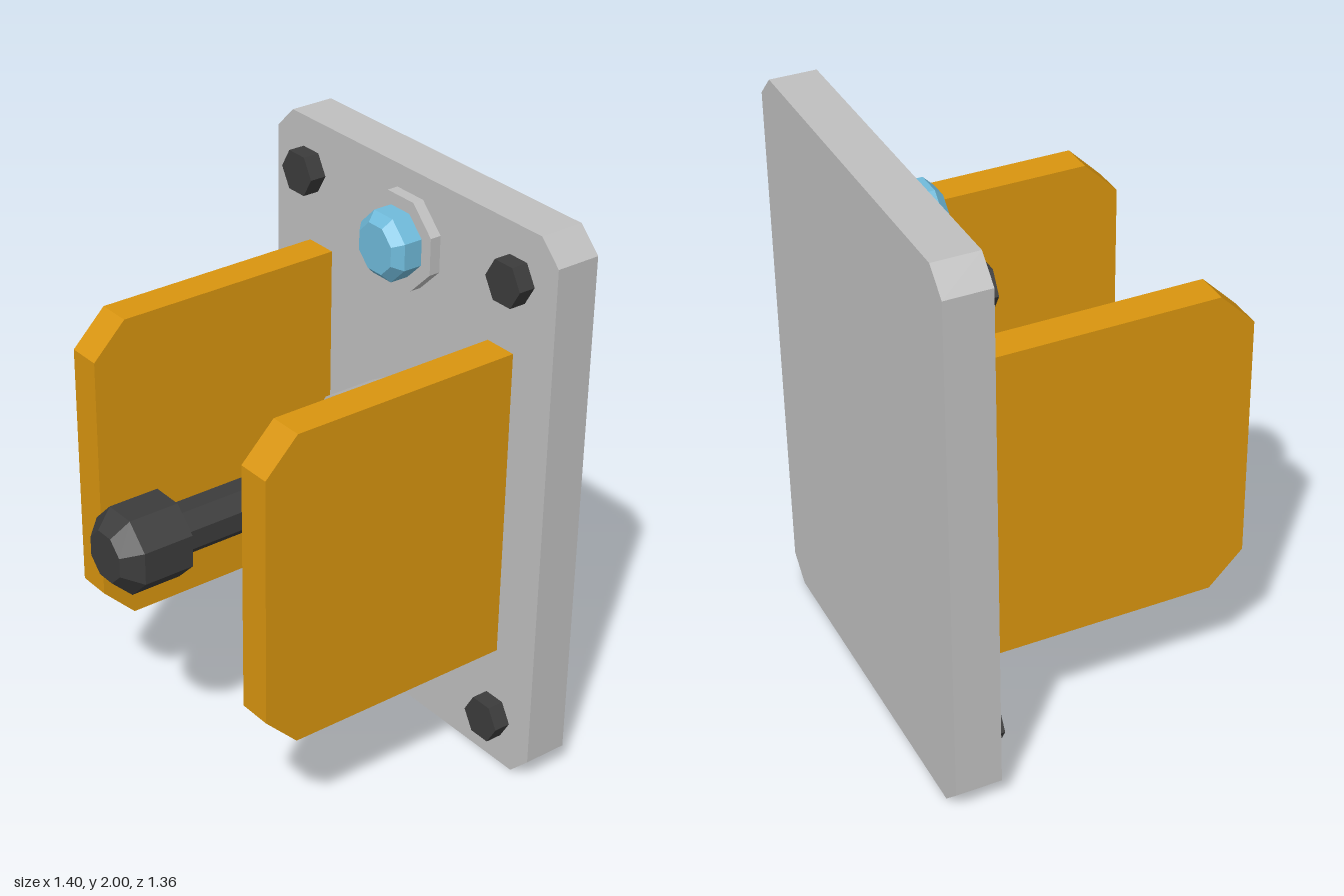
import * as THREE from 'three';

const paint = (name, color) => {
  const m = new THREE.MeshStandardMaterial({ color });
  m.name = name;
  return m;
};

// Split shared corners so every face is flat
function faceted(geometry) {
  const g = geometry.index ? geometry.toNonIndexed() : geometry;
  g.computeVertexNormals();
  return g;
}

// Straight-sided panel from an outline of [x, y] points, centred in depth
function panel(points, depth) {
  const shape = new THREE.Shape(points.map(([x, y]) => new THREE.Vector2(x, y)));
  const g = new THREE.ExtrudeGeometry(shape, { depth, bevelEnabled: false });
  return g.translate(0, 0, -depth / 2);
}

// Prism along z between z0 and z1, lying on a flat side
function prism(sides, r0, r1, z0, z1) {
  const g = new THREE.CylinderGeometry(r1, r0, z1 - z0, sides);
  return g.rotateY(Math.PI / sides).rotateX(Math.PI / 2).translate(0, 0, (z0 + z1) / 2);
}

// Turned part with several radii along z; profile is [radius, z] from back to front
function turned(sides, profile) {
  const pts = profile.map(([r, z]) => new THREE.Vector2(r, z));
  return new THREE.LatheGeometry(pts, sides).rotateY(Math.PI / sides).rotateX(Math.PI / 2);
}

export function createModel() {
  const steel = paint('steel grey', 0xc0c0c0);
  const orange = paint('guard orange', 0xd9950f);
  const black = paint('dark rubber', 0x3c3c3c);
  const blue = paint('lamp blue', 0x70bbdb);

  const model = new THREE.Group();
  model.name = 'wallLever';
  const add = (name, geometry, material, x = 0, y = 0, z = 0) => {
    const mesh = new THREE.Mesh(faceted(geometry), material);
    mesh.name = name;
    mesh.position.set(x, y, z);
    model.add(mesh);
  };

  // Back plate with clipped corners
  const w = 0.7, c = 0.08;
  add('backPlate', panel([
    [-w + c, 0], [w - c, 0], [w, c], [w, 2 - c],
    [w - c, 2], [-w + c, 2], [-w, 2 - c], [-w, c],
  ], 0.16), steel, 0, 0, -0.6);

  for (const [side, s] of [['left', 1], ['right', -1]]) {
    // Side guard, outline drawn in z and y
    const guard = panel([
      [-0.52, 0.44], [0.32, 0.44], [0.44, 0.56],
      [0.44, 1.44], [0.32, 1.56], [-0.52, 1.56],
    ], 0.12).rotateY(-Math.PI / 2);
    add(`${side}Guard`, guard, orange, s * 0.46);

    // Hexagonal corner bolts
    for (const [level, y] of [['Lower', 0.18], ['Upper', 1.82]]) {
      add(`${side}${level}Bolt`, prism(6, 0.08, 0.08, -0.52, -0.46), black, s * 0.52, y);
    }
  }

  // Lever mount: round collar and crosswise pivot
  add('collar', prism(12, 0.24, 0.24, -0.52, -0.32), steel, 0, 1);
  const pivot = new THREE.CylinderGeometry(0.12, 0.12, 0.32, 8);
  add('pivot', pivot.rotateY(Math.PI / 8).rotateZ(Math.PI / 2), black, 0, 1, -0.28);

  // Lever rod and its knob
  add('leverRod', prism(8, 0.087, 0.087, -0.28, 0.46), black, 0, 1);
  add('leverKnob', turned(8, [
    [0, 0.44], [0.147, 0.44], [0.147, 0.62], [0.088, 0.68], [0, 0.68],
  ]), black, 0, 1.003);

  // Indicator lamp in its bezel
  add('lampBezel', prism(8, 0.168, 0.168, -0.52, -0.48), steel, 0, 1.763);
  add('lamp', turned(8, [
    [0, -0.49], [0.12, -0.49], [0.12, -0.412], [0.087, -0.38], [0, -0.38],
  ]), blue, 0, 1.763);

  return model;
}
